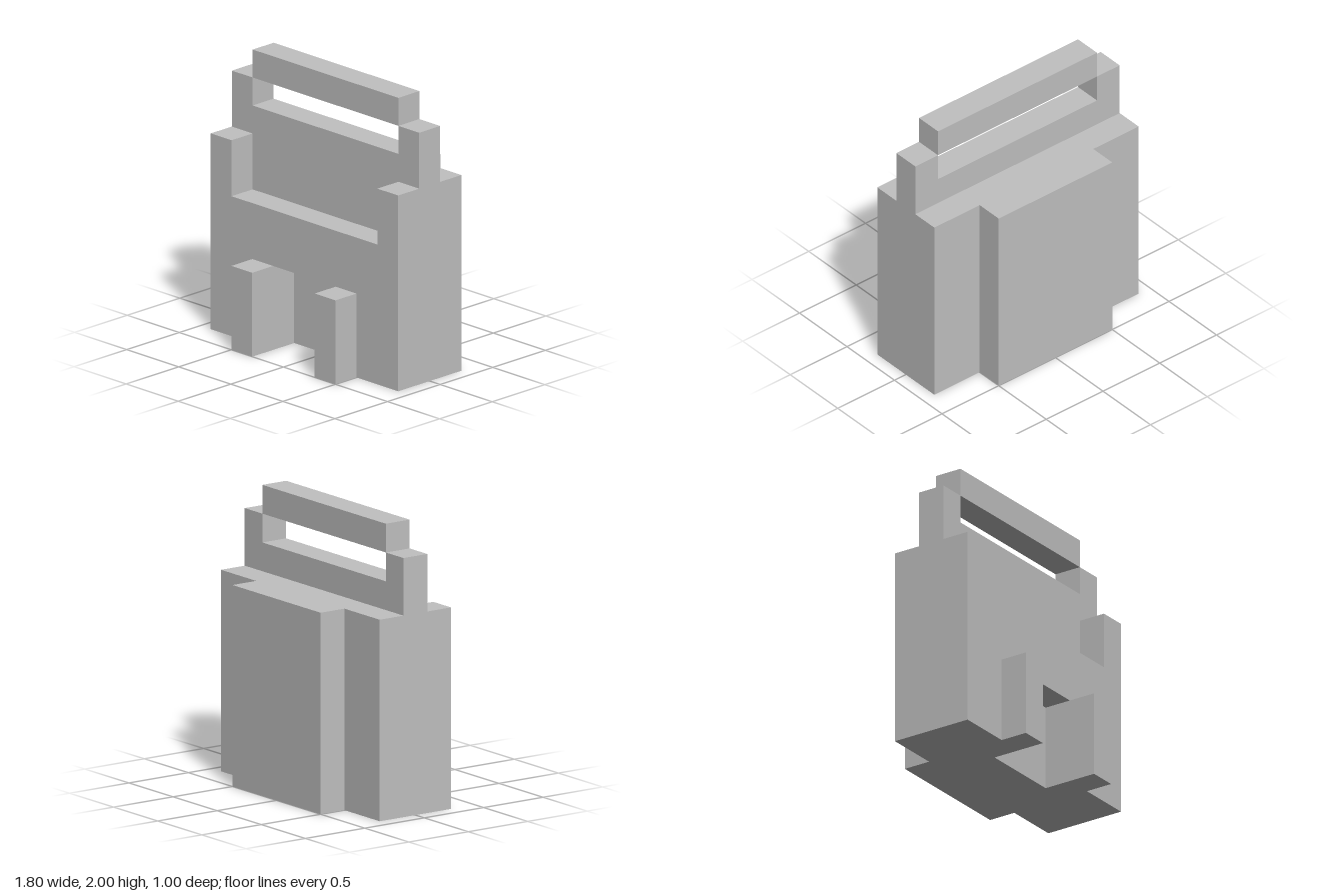
import * as THREE from 'three';

export function createModel() {
  const model = new THREE.Group();
  model.name = 'backpack';
  const grey = new THREE.MeshStandardMaterial({ color: 0xc0c0c0 });
  grey.name = 'grey';

  const add = (name, geometry) => {
    const mesh = new THREE.Mesh(geometry, grey);
    mesh.name = name;
    model.add(mesh);
  };

  // Box given by its limits on each axis
  const box = (name, [x0, x1], [y0, y1], [z0, z1]) => {
    const g = new THREE.BoxGeometry(x1 - x0, y1 - y0, z1 - z0);
    g.translate((x0 + x1) / 2, (y0 + y1) / 2, (z0 + z1) / 2);
    add(name, g);
  };

  // Symmetric slab: the +x half of the outline, mirrored, extruded from z0 to z1
  const slab = (name, half, z0, z1) => {
    const left = half.map(([x, y]) => new THREE.Vector2(x, y));
    const right = half.map(([x, y]) => new THREE.Vector2(-x, y)).reverse();
    const g = new THREE.ExtrudeGeometry(new THREE.Shape([...left, ...right]), {
      depth: z1 - z0, bevelEnabled: false,
    });
    g.translate(0, 0, z0);
    add(name, g);
  };

  // Front layer with the top notch and the slot between the straps
  slab('frontLayer', [
    [0.3, 0.6], [0.3, 0], [0.9, 0], [0.9, 1.4], [0.7, 1.4], [0.7, 1],
  ], 0.1, 0.3);

  // Middle layer rising into the raised panel and the two handle posts
  slab('middleLayer', [
    [0.9, 0], [0.9, 1.8], [0.7, 1.8], [0.7, 1.6],
  ], -0.1, 0.1);

  box('rearLayer', [-0.9, 0.9], [0, 1.4], [-0.3, -0.1]);
  box('backPocket', [-0.5, 0.5], [0, 1.4], [-0.5, -0.3]);
  box('handleBar', [-0.7, 0.7], [1.8, 2], [-0.1, 0.1]);

  // Two blocks standing out at the front
  box('leftFoot', [0.3, 0.5], [0, 0.6], [0.3, 0.5]);
  box('rightFoot', [-0.5, -0.3], [0, 0.6], [0.3, 0.5]);

  return model;
}
